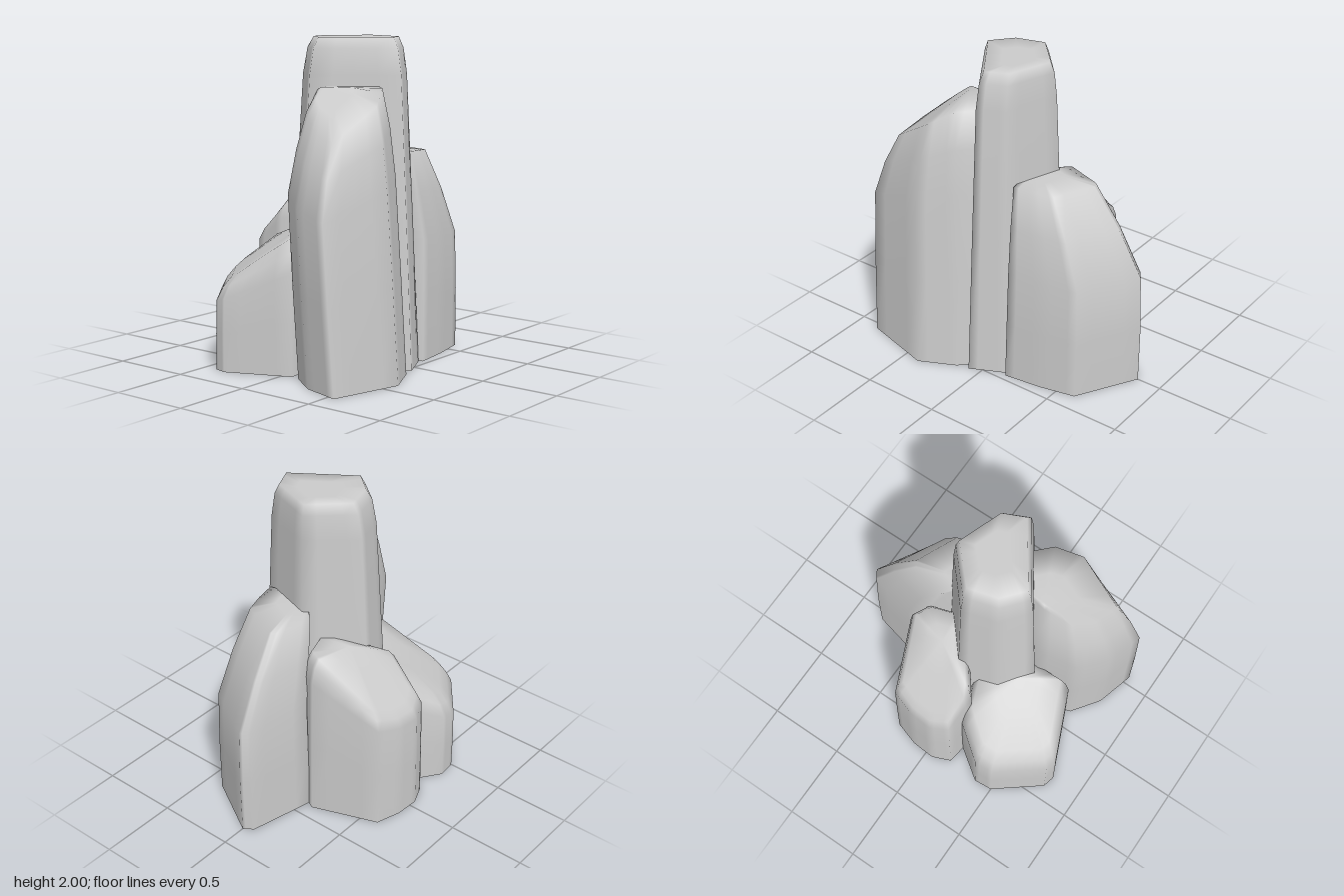
import * as THREE from 'three';
import { mergeVertices } from 'three/addons/utils/BufferGeometryUtils.js';

const material = new THREE.MeshStandardMaterial({ color: 0xcccccc, side: THREE.DoubleSide });
const RISE = 6, SPLIT = 4; // steps up each rib, steps between ribs

// A rock column, open below. Its foot outline shrinks towards the crown, first to
// the shoulder (moved by lean) and then to the rim, whose height falls along the tilt.
function column(name, { crown, foot, shoulder, lean, rim, tilt }) {
  const top = new THREE.Vector3(...crown);
  const ribs = foot.map(([x, z]) => {
    const dx = x - top.x, dz = z - top.z;
    const rimX = dx * rim[0], rimZ = dz * rim[1];
    const rimY = top.y + Math.min(0, tilt[0] * rimX + tilt[1] * rimZ);
    const points = [
      new THREE.Vector3(x, 0, z),
      new THREE.Vector3(
        top.x + dx * shoulder.scale + lean[0], rimY * shoulder.height, top.z + dz * shoulder.scale + lean[1]),
      new THREE.Vector3(top.x + rimX, rimY, top.z + rimZ),
      top,
    ];
    return new THREE.CatmullRomCurve3(points, false, 'catmullrom', 0.2).getPoints(RISE);
  });

  const n = ribs.length * SPLIT, pos = [], index = [];
  for (let j = 0; j <= RISE; j++) {
    for (let i = 0; i < n; i++) {
      const k = Math.floor(i / SPLIT);
      const p = ribs[k][j].clone().lerp(ribs[(k + 1) % ribs.length][j], (i % SPLIT) / SPLIT);
      pos.push(p.x, Math.min(top.y, p.y), p.z);
    }
  }
  for (let j = 0; j < RISE; j++) {
    for (let i = 0; i < n; i++) {
      const a = j * n + i, b = j * n + (i + 1) % n;
      index.push(a, b, b + n);
      if (j < RISE - 1) index.push(a, b + n, a + n);
    }
  }
  let geometry = new THREE.BufferGeometry();
  geometry.setAttribute('position', new THREE.Float32BufferAttribute(pos, 3));
  geometry.setIndex(index);
  geometry = mergeVertices(geometry, 1e-5);
  geometry.computeVertexNormals();
  const mesh = new THREE.Mesh(geometry, material);
  mesh.name = name;
  return mesh;
}

// Faces of one column that lie wholly inside another are left out
function outerFaces(mesh, others) {
  const ray = new THREE.Raycaster(), up = new THREE.Vector3(0, 1, 0);
  const pos = mesh.geometry.attributes.position, index = mesh.geometry.index.array;
  const inside = others.map(other => Array.from({ length: pos.count }, (_, i) => {
    const p = new THREE.Vector3().fromBufferAttribute(pos, i);
    p.x += 0.00013;
    p.z += 0.00017;
    ray.set(p, up);
    return ray.intersectObject(other).length % 2 === 1;
  }));
  const kept = [];
  for (let f = 0; f < index.length; f += 3) {
    const face = [index[f], index[f + 1], index[f + 2]];
    if (!inside.some(flags => face.every(v => flags[v]))) kept.push(...face);
  }
  return kept;
}

export function createModel() {
  // Foot outlines run from the front round by the left side
  const columns = [
    column('tallCentreColumn', {
      crown: [0, 2, 0.1], rim: [0.65, 0.62], tilt: [0, 0],
      shoulder: { scale: 0.77, height: 0.89 }, lean: [0, 0],
      foot: [[-0.08, 0.54], [0.13, 0.44], [0.28, 0], [-0.02, -0.34], [-0.3, -0.26], [-0.47, -0.05]],
    }),
    column('frontRightColumn', {
      crown: [-0.36, 1.71, 0.1], rim: [0.68, 0.7], tilt: [0.7, -0.2],
      shoulder: { scale: 0.98, height: 0.7 }, lean: [-0.02, -0.06],
      foot: [[-0.39, 0.67], [-0.16, 0.56], [0.05, 0.35], [-0.1, 0.1], [-0.4, 0.05], [-0.64, 0.12], [-0.77, 0.3], [-0.84, 0.55]],
    }),
    column('frontLeftColumn', {
      crown: [0.13, 1.3, 0.11], rim: [0.53, 0.68], tilt: [-0.05, 0],
      shoulder: { scale: 0.96, height: 0.58 }, lean: [0.02, 0],
      foot: [[0.15, 0.46], [0.39, 0.43], [0.62, 0.38], [0.84, 0], [0.8, -0.06], [0.38, -0.16], [0.06, 0.1]],
    }),
    column('backLeftColumn', {
      crown: [0.12, 1.11, -0.26], rim: [0.78, 0.8], tilt: [0, 1.05],
      shoulder: { scale: 0.97, height: 0.86 }, lean: [0, 0],
      foot: [[0.1, 0], [0.35, -0.08], [0.41, -0.2], [0.26, -0.61], [0.1, -0.66], [-0.05, -0.67], [-0.17, -0.62], [-0.2, -0.4]],
    }),
    column('backRightColumn', {
      crown: [-0.36, 0.85, -0.12], rim: [0.8, 0.8], tilt: [0.45, 0.55],
      shoulder: { scale: 0.99, height: 0.75 }, lean: [0, 0],
      foot: [[-0.3, 0.05], [-0.05, -0.15], [-0.17, -0.49], [-0.38, -0.64], [-0.5, -0.63], [-0.78, -0.41], [-0.8, -0.33], [-0.63, 0.06]],
    }),
  ];
  const shells = columns.map(c => outerFaces(c, columns.filter(o => o !== c)));
  columns.forEach((c, i) => c.geometry.setIndex(shells[i]));

  const group = new THREE.Group();
  group.name = 'rockFormation';
  group.add(...columns);
  return group;
}
